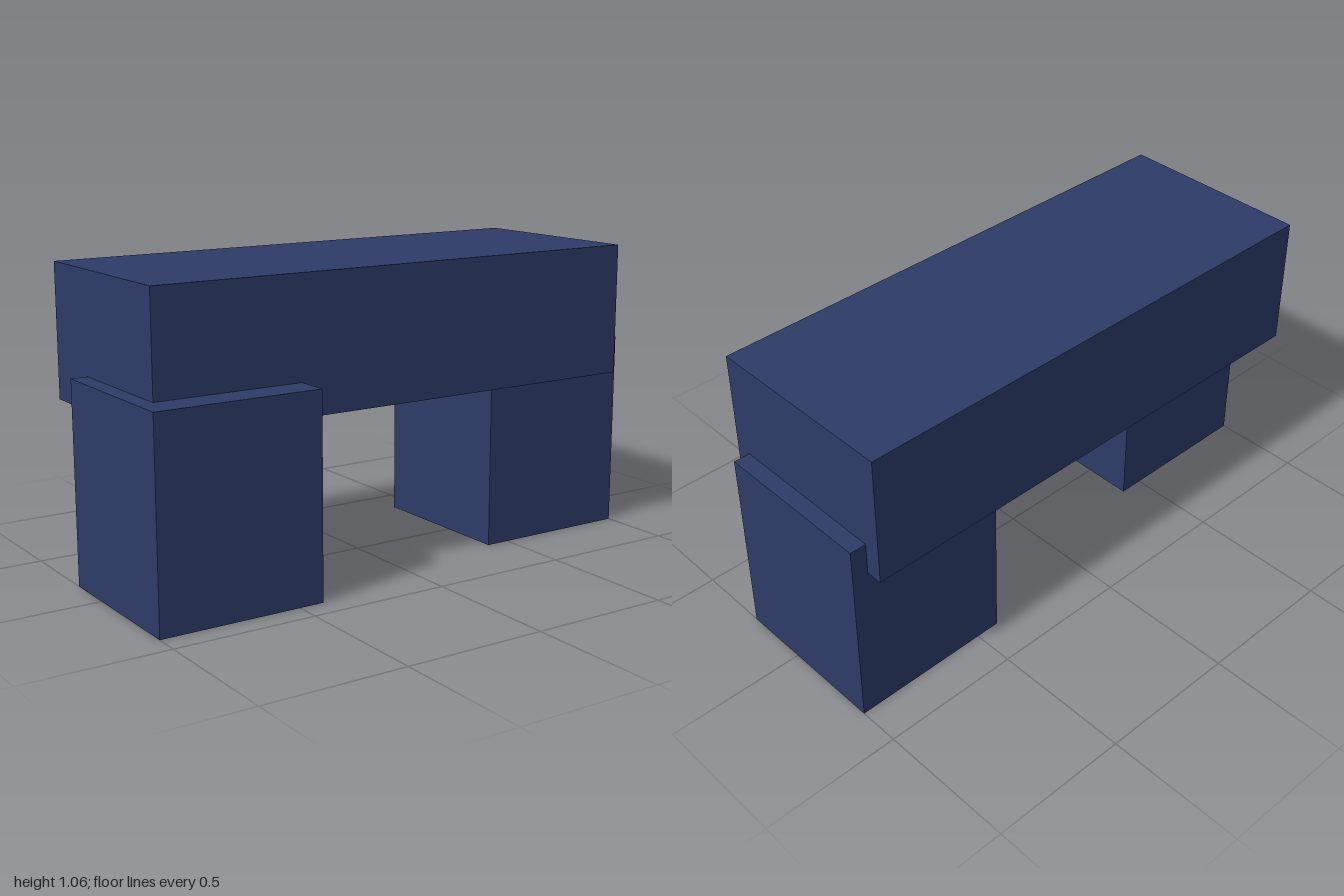
import * as THREE from 'three';

const U = 1 / 17; // modular unit: the whole width is 34 units

export function createModel() {
  const group = new THREE.Group();
  const navy = new THREE.MeshStandardMaterial({ color: 0x2d3b68 });
  navy.name = 'navy';

  // Box given by its minimum corner and size, in modular units
  const addBlock = (name, [x, y, z], [w, h, d]) => {
    const mesh = new THREE.Mesh(new THREE.BoxGeometry(w * U, h * U, d * U), navy);
    mesh.name = name;
    mesh.position.set((x + w / 2) * U, (y + h / 2) * U, (z + d / 2) * U);
    group.add(mesh);
  };

  // Two staggered supports, with the beam sunk into their tops
  addBlock('rightSupport', [-17, 0, -3], [10, 12, 10]);
  addBlock('leftSupport', [7, 0, -6], [10, 12, 10]);
  addBlock('beam', [-16, 10, -7], [32, 8, 12]);

  return group;
}
